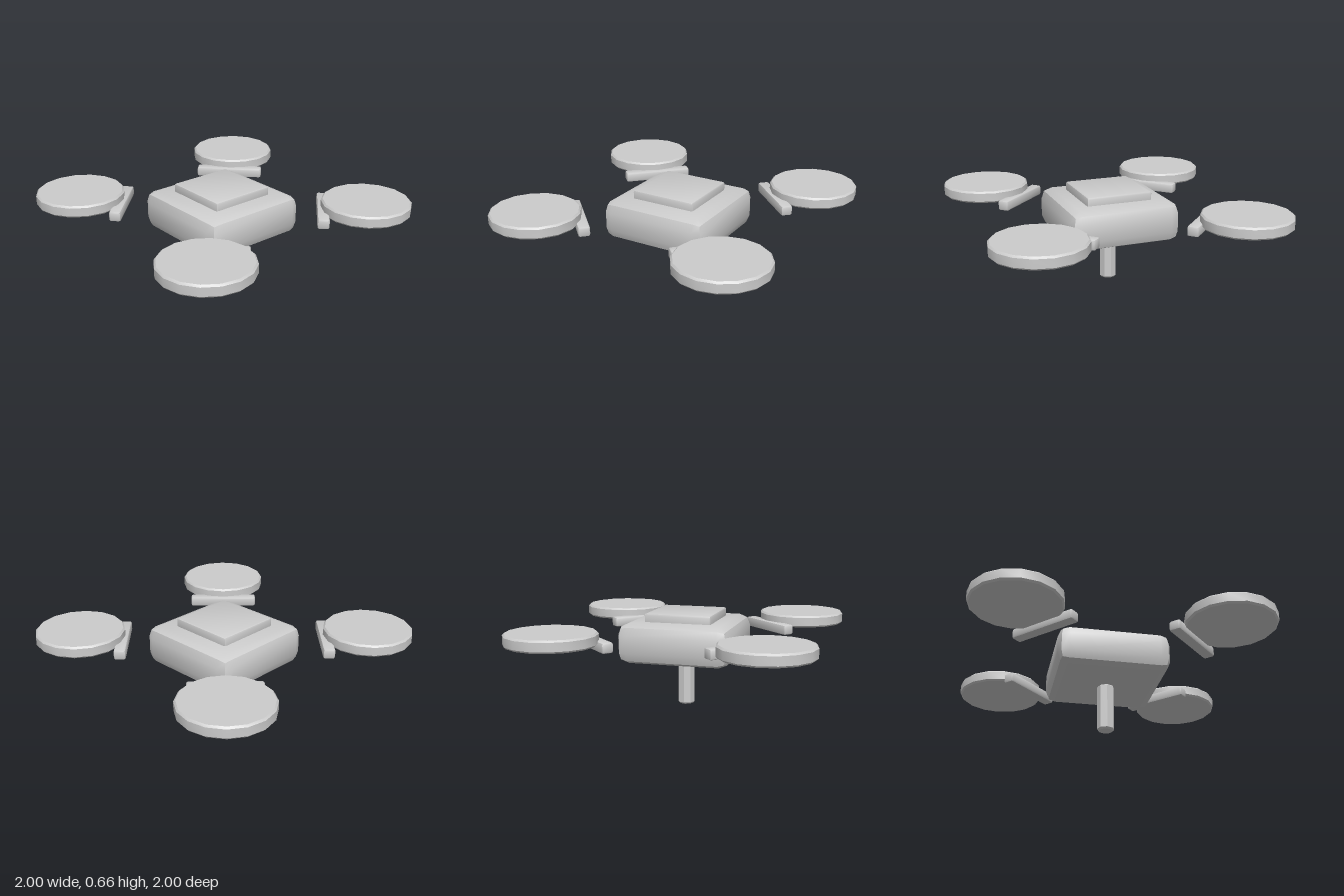
import * as THREE from 'three';
import { RoundedBoxGeometry } from 'three/addons/geometries/RoundedBoxGeometry.js';
import { toCreasedNormals } from 'three/addons/utils/BufferGeometryUtils.js';

const CREASE = 0.6;

// Box with softened edges
function bevelBox(w, h, d, r) {
  return toCreasedNormals(new RoundedBoxGeometry(w, h, d, 1, r), CREASE);
}

// Upright prism standing on y = 0 with chamfered rims
function bevelCylinder(r, h, sides, b) {
  const profile = [[0, 0], [r - b, 0], [r, b], [r, h - b], [r - b, h], [0, h]]
    .map(([x, y]) => new THREE.Vector2(x, y));
  return toCreasedNormals(new THREE.LatheGeometry(profile, sides), CREASE);
}

export function createModel() {
  const model = new THREE.Group();
  model.name = 'quadcopter';
  const grey = new THREE.MeshStandardMaterial({ color: 0xcccccc });
  grey.name = 'light grey';

  function add(name, geometry, x, y, z, turn = 0) {
    const mesh = new THREE.Mesh(geometry, grey);
    mesh.name = name;
    mesh.position.set(x, y, z);
    mesh.rotation.y = turn;
    model.add(mesh);
  }

  // Central body, raised top plate and post below
  add('body', bevelBox(0.77, 0.27, 0.77, 0.075), 0, 0.465, 0);
  add('topPlate', bevelBox(0.46, 0.1, 0.46, 0.014), 0, 0.607, 0);
  add('post', bevelCylinder(0.06, 0.335, 8, 0.012), 0, 0, 0);

  // Rotor disc and crosswise bar at each corner
  const disc = bevelCylinder(0.305, 0.082, 16, 0.012);
  const bar = bevelBox(0.485, 0.07, 0.08, 0.014);
  for (const sx of [-1, 1]) {
    for (const sz of [-1, 1]) {
      add('rotor', disc, sx * 0.695, 0.504, sz * 0.695);
      add('bar', bar, sx * 0.492, 0.496, sz * 0.492, sx * sz * Math.PI / 4);
    }
  }
  return model;
}
